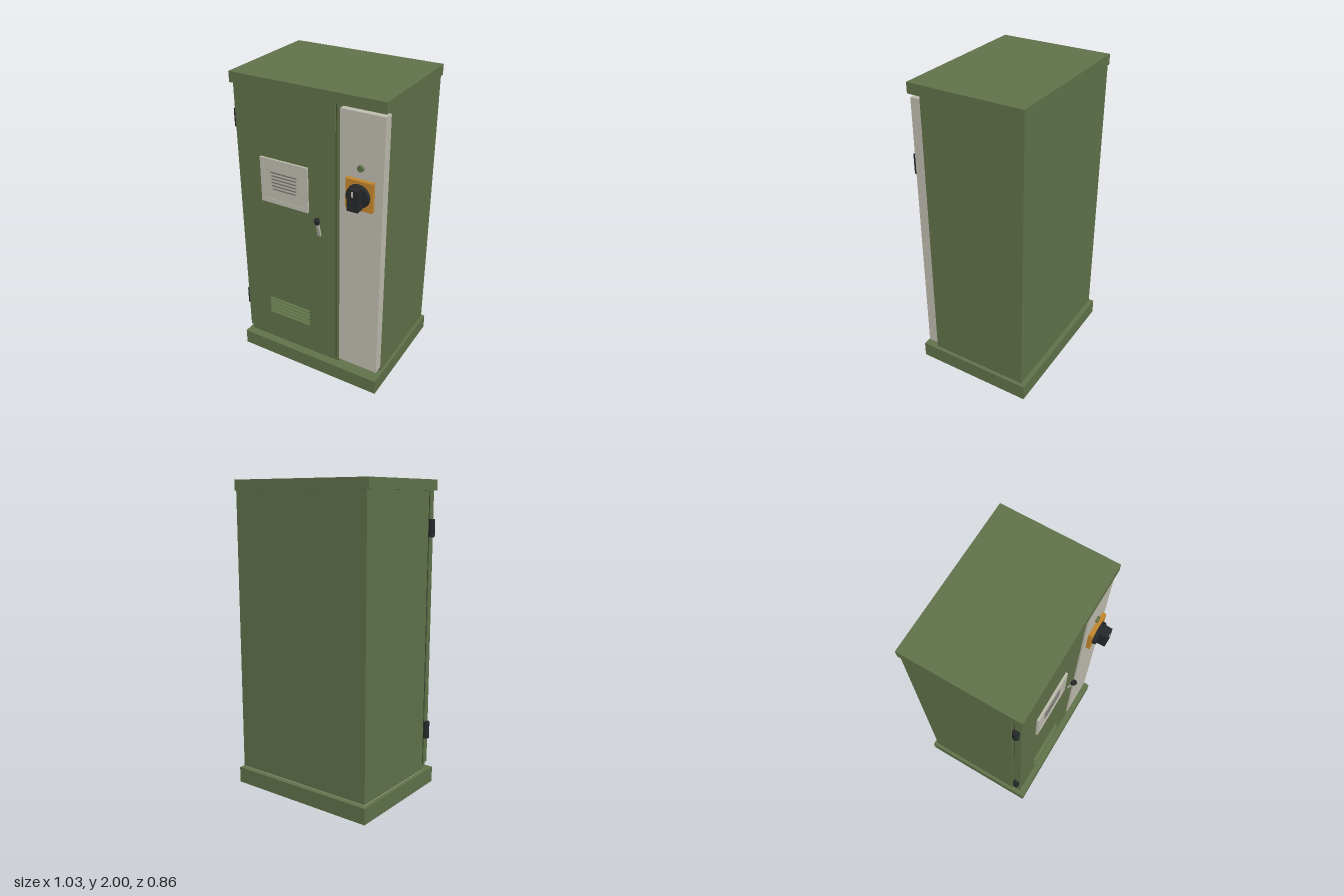
import * as THREE from 'three';

export function createModel() {
  const model = new THREE.Group();
  model.name = 'electricalCabinet';

  const mat = (name, color) => {
    const m = new THREE.MeshStandardMaterial({ color });
    m.name = name;
    return m;
  };
  const green = mat('olive green', 0x61734a);
  const cream = mat('warm grey', 0xc1bdb1);
  const orange = mat('orange', 0xc5882c);
  const black = mat('black', 0x26282a);
  const grey = mat('slot grey', 0x76766f);
  const darkGreen = mat('seam green', 0x3d4930);

  const add = (name, geo, material, parent = model) => {
    const m = new THREE.Mesh(geo, material);
    m.name = name;
    parent.add(m);
    return m;
  };
  // Box given by its minimum and maximum on each axis
  const box = (name, material, x0, x1, y0, y1, z0, z1, parent) => {
    const m = add(name, new THREE.BoxGeometry(x1 - x0, y1 - y0, z1 - z0), material, parent);
    m.position.set((x0 + x1) / 2, (y0 + y1) / 2, (z0 + z1) / 2);
    return m;
  };
  // Disc whose axis points to the front
  const disc = (name, material, x, y, z0, z1, r0, r1, parent) => {
    const g = new THREE.CylinderGeometry(r1, r0, z1 - z0, 40).rotateX(Math.PI / 2);
    const m = add(name, g, material, parent);
    m.position.set(x, y, (z0 + z1) / 2);
    return m;
  };

  // Housing
  box('base', green, -0.515, 0.515, 0, 0.104, -0.43, 0.363);
  box('baseGasket', cream, -0.49, 0.495, 0.104, 0.112, -0.395, 0.26);
  box('body', green, -0.495, 0.5, 0.112, 1.935, -0.402, 0.263);
  box('roof', green, -0.508, 0.51, 1.934, 2, -0.406, 0.34);
  box('frontFrame', green, -0.485, 0.215, 0.112, 1.934, 0.263, 0.315);

  // Door with a narrow seam along its edges
  box('doorSeam', darkGreen, -0.488, 0.197, 0.147, 1.934, 0.28, 0.317);
  box('door', green, -0.492, 0.192, 0.152, 1.934, 0.285, 0.326);
  box('sidePanel', cream, 0.225, 0.5, 0.148, 1.912, 0.263, 0.327);

  // Hinges
  for (const y of [0.385, 1.705]) {
    const hinge = new THREE.Group();
    hinge.name = 'hinge';
    add('hingeBarrel', new THREE.CylinderGeometry(0.02, 0.02, 0.112, 24), black, hinge);
    box('hingeLeaf', black, 0, 0.02, -0.056, 0.056, -0.014, 0.014, hinge);
    hinge.position.set(-0.5, y, 0.296);
    model.add(hinge);
  }

  // Upper filter cover: raised frame with a recessed slotted field
  const cover = new THREE.Group();
  cover.name = 'filterCover';
  model.add(cover);
  const rect = (P, x0, x1, y0, y1) => new P([[x0, y0], [x1, y0], [x1, y1], [x0, y1]]
    .map(([x, y]) => new THREE.Vector2(x, y)));
  const frame = rect(THREE.Shape, -0.322, 0.012, 1.207, 1.505);
  frame.holes.push(rect(THREE.Path, -0.295, -0.015, 1.235, 1.478));
  const frameMesh = add('coverFrame',
    new THREE.ExtrudeGeometry(frame, { depth: 0.014, bevelEnabled: false }), cream, cover);
  frameMesh.position.z = 0.326;
  box('coverField', cream, -0.295, -0.015, 1.235, 1.478, 0.326, 0.337, cover);
  for (let i = 0; i < 6; i++) {
    const half = i === 0 ? 0.082 : i === 5 ? 0.092 : 0.088;
    const y = 1.306 + i * 0.0222;
    box('coverSlot', grey, -0.155 - half, -0.155 + half, y - 0.0038, y + 0.0038, 0.336, 0.339, cover);
  }

  // Lower louvres: hooded wedges with a dark slot under each
  const hood = new THREE.Shape();
  hood.moveTo(0, 0.014);
  hood.lineTo(0, 0);
  hood.lineTo(0.015, 0);
  hood.lineTo(0.015, 0.004);
  hood.closePath();
  for (let i = 0; i < 5; i++) {
    const y = 0.341 + i * 0.0268;
    const g = new THREE.ExtrudeGeometry(hood, { depth: 0.31, bevelEnabled: false });
    g.rotateY(-Math.PI / 2);
    add('louvre', g, green).position.set(0.005, y, 0.325);
    box('louvreSlot', darkGreen, -0.305, 0.005, y - 0.007, y, 0.324, 0.328);
  }

  // Swing handle leaning out from the door
  const handle = new THREE.Group();
  handle.name = 'doorHandle';
  box('handleLever', cream, -0.01, 0.01, 0, 0.1, -0.006, 0.006, handle);
  const grip = add('handleGrip', new THREE.CylinderGeometry(0.018, 0.014, 0.034, 20), black, handle);
  grip.position.y = 0.113;
  handle.position.set(0.09, 1.073, 0.334);
  handle.rotation.x = 0.25;
  model.add(handle);

  // Rotary main switch
  const sw = new THREE.Group();
  sw.name = 'mainSwitch';
  model.add(sw);
  box('switchPlate', orange, 0.276, 0.449, 1.335, 1.52, 0.326, 0.354, sw);
  disc('switchDial', black, 0.361, 1.427, 0.354, 0.377, 0.074, 0.071, sw);
  box('switchGrip', black, 0.327, 0.396, 1.36, 1.494, 0.377, 0.428, sw);
  box('switchMark', cream, 0.356, 0.366, 1.453, 1.487, 0.427, 0.431, sw);

  // Indicator lamp
  disc('indicatorLamp', green, 0.36, 1.587, 0.326, 0.342, 0.02, 0.019);

  return model;
}
